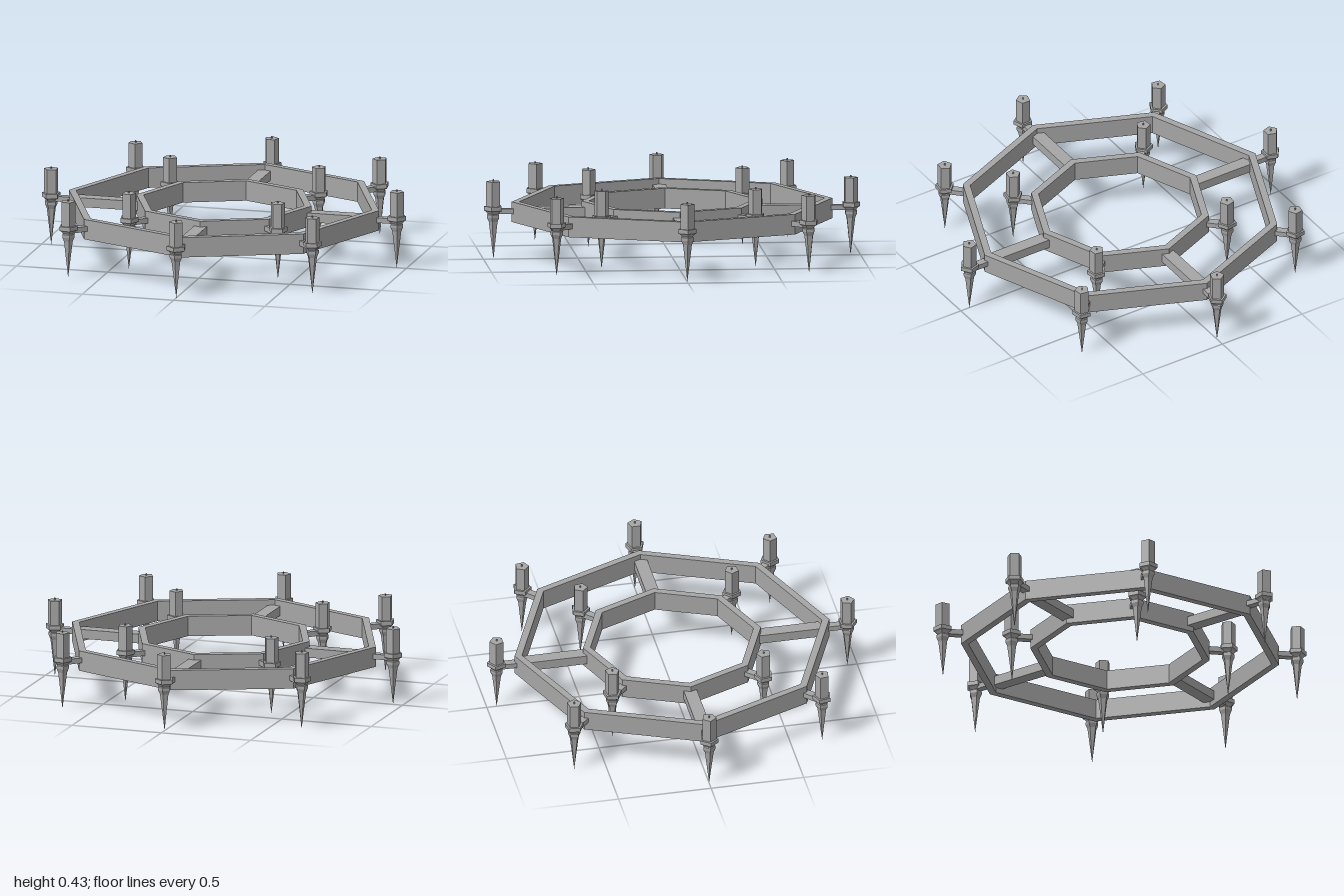
import * as THREE from 'three';

const iron = new THREE.MeshStandardMaterial({ color: 0xa6a6a6, flatShading: true });
iron.name = 'grey iron';

function add(parent, name, geometry, x = 0, y = 0, z = 0) {
  const mesh = new THREE.Mesh(geometry, iron);
  mesh.name = name;
  mesh.position.set(x, y, z);
  parent.add(mesh);
  return mesh;
}

// Eight-cornered outline with a corner on each axis
function octagon(radius, Type) {
  const points = [];
  for (let i = 0; i < 8; i++) {
    const a = (i * Math.PI) / 4;
    points.push(new THREE.Vector2(radius * Math.cos(a), radius * Math.sin(a)));
  }
  return new Type(points);
}

// Flat-sided hoop standing between y = 0.197 and y = 0.305
function ringGeometry(outer, inner) {
  const shape = octagon(outer, THREE.Shape);
  shape.holes.push(octagon(inner, THREE.Path));
  const geometry = new THREE.ExtrudeGeometry(shape, { depth: 0.108, bevelEnabled: false });
  return geometry.rotateX(-Math.PI / 2).translate(0, 0.197, 0);
}

// Five-sided spike, cup and drip tray in one turned profile
const holderProfile = [
  [0, 0], [0.025, 0.2], [0.035, 0.222], [0.035, 0.238], [0.03, 0.242],
  [0.04, 0.255], [0.051, 0.26], [0.051, 0.283], [0, 0.283],
].map(([r, y]) => new THREE.Vector2(r, y));
const holderGeometry = new THREE.LatheGeometry(holderProfile, 5);
const candleGeometry = new THREE.CylinderGeometry(0.039, 0.039, 0.132, 5);
const wickGeometry = new THREE.CylinderGeometry(0.004, 0.004, 0.012, 5);

// Candle on a short arm, reaching outward from a ring corner
function candleArm(name, ringRadius, candleRadius, angle) {
  const group = new THREE.Group();
  group.name = name;
  const start = ringRadius - 0.02;
  const length = candleRadius - start;
  add(group, 'arm', new THREE.BoxGeometry(0.04, 0.028, length), 0, 0.256, start + length / 2);
  add(group, 'spikedHolder', holderGeometry, 0, 0, candleRadius);
  add(group, 'candle', candleGeometry, 0, 0.349, candleRadius);
  add(group, 'wick', wickGeometry, 0, 0.42, candleRadius);
  group.rotation.y = angle;
  return group;
}

export function createModel() {
  const model = new THREE.Group();
  model.name = 'chandelier';

  add(model, 'outerRing', ringGeometry(0.85, 0.81));
  add(model, 'innerRing', ringGeometry(0.48, 0.44));

  // Four spokes join the rings at the axes
  for (let i = 0; i < 4; i++) {
    const spoke = new THREE.BoxGeometry(0.07, 0.05, 0.365).translate(0, 0.25, 0.645);
    add(model, 'spoke', spoke).rotation.y = (i * Math.PI) / 2;
  }

  // Eight candles outside, four on the diagonals of the inner ring
  for (let i = 0; i < 8; i++) {
    const angle = (i * Math.PI) / 4;
    model.add(candleArm('outerCandle', 0.85, 0.947, angle));
    if (i % 2) model.add(candleArm('innerCandle', 0.48, 0.578, angle));
  }
  return model;
}
